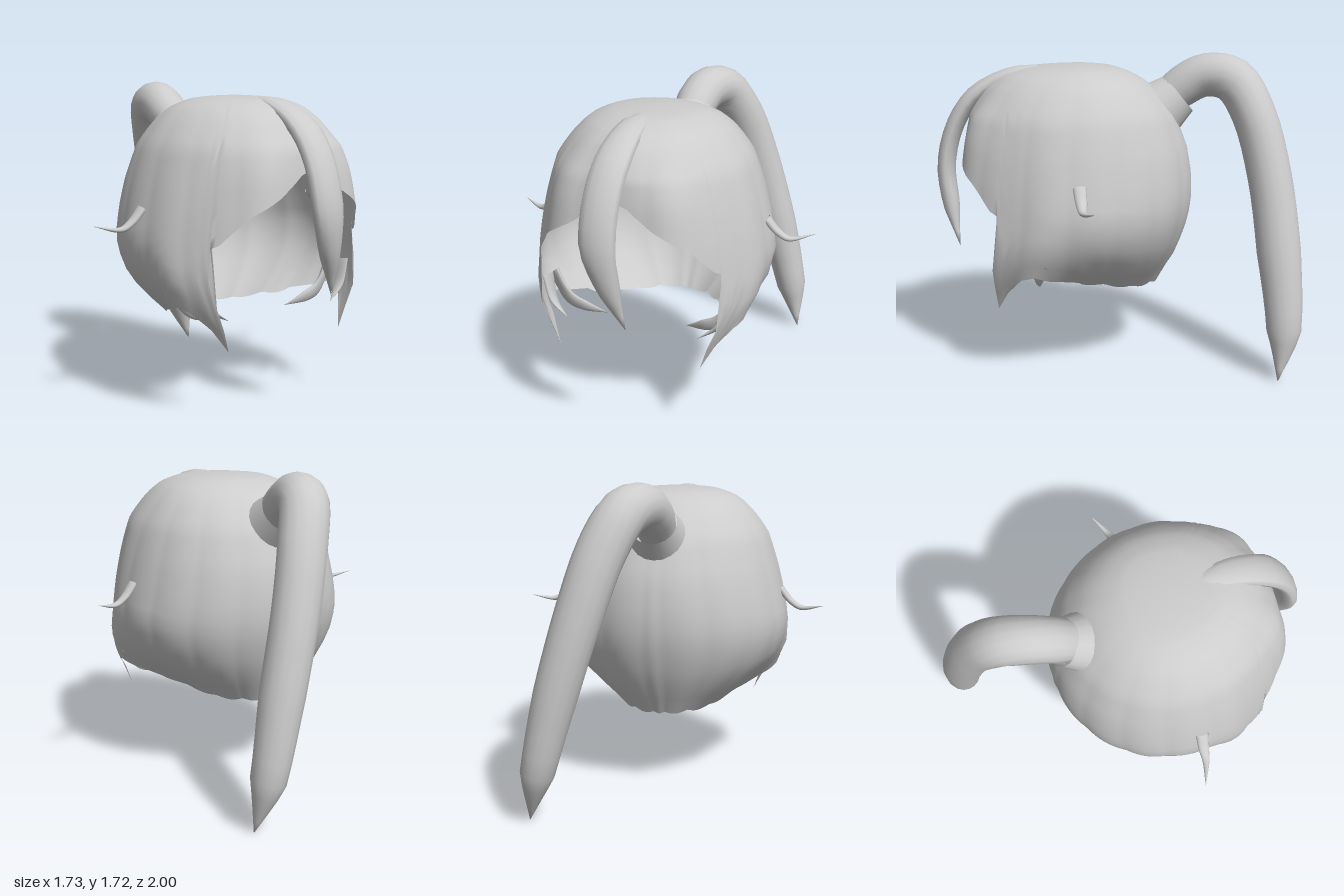
import * as THREE from 'three';
import { mergeVertices } from 'three/addons/utils/BufferGeometryUtils.js';

const TOP = 1.66, MID_Z = 0.2;
const { lerp, clamp, smoothstep, degToRad } = THREE.MathUtils;

// Dome profile: height, half width at the front and at the back, depth to the front and to the back
const PROFILE = [
  [1.66, 0, 0, 0, 0], [1.645, 0.23, 0.23, 0.28, 0.2], [1.6, 0.35, 0.35, 0.42, 0.32],
  [1.54, 0.42, 0.42, 0.5, 0.41], [1.4, 0.53, 0.52, 0.59, 0.53], [1.2, 0.595, 0.585, 0.62, 0.61],
  [1.05, 0.63, 0.62, 0.635, 0.635], [0.9, 0.655, 0.645, 0.64, 0.635], [0.75, 0.66, 0.61, 0.68, 0.6],
  [0.6, 0.61, 0.5, 0.73, 0.54], [0.5, 0.54, 0.37, 0.75, 0.48], [0.38, 0.48, 0.25, 0.77, 0.42],
];

// Lower hairline: degrees from the front, height
const HAIRLINE = [
  [0, 1.3], [8, 1.27], [20, 1.17], [35, 1.07], [46, 0.94], [50, 0.92], [52, 0.62], [56, 0.38],
  [60, 0.49], [66, 0.58], [72, 0.6], [78, 0.57], [95, 0.52], [130, 0.455], [180, 0.44],
];

// Linear lookup in a table whose first column is mapped by key
function lookup(table, value, key = (v) => v) {
  const k = key(value);
  let i = 1;
  while (i < table.length - 1 && k > key(table[i][0])) i++;
  const a = table[i - 1], b = table[i];
  const f = clamp((k - key(a[0])) / (key(b[0]) - key(a[0])), 0, 1);
  return a.slice(1).map((v, j) => lerp(v, b[j + 1], f));
}

// Grid of points to a smooth surface
function gridGeometry(rows, cols, pointAt) {
  const pos = [], index = [];
  for (let r = 0; r <= rows; r++) {
    for (let c = 0; c <= cols; c++) pos.push(...pointAt(r / rows, c / cols));
  }
  for (let r = 0; r < rows; r++) {
    for (let c = 0; c < cols; c++) {
      const a = r * (cols + 1) + c, b = a + cols + 1;
      index.push(a, b, a + 1, b, b + 1, a + 1);
    }
  }
  const geo = new THREE.BufferGeometry();
  geo.setAttribute('position', new THREE.Float32BufferAttribute(pos, 3));
  geo.setIndex(index);
  const merged = mergeVertices(geo, 1e-4);
  merged.computeVertexNormals();
  return merged;
}

// Dome with bangs, pointed side locks and a nape that tucks under
function domeGeometry() {
  return gridGeometry(26, 180, (t, u) => {
    const deg = u * 360 - 180, from = Math.abs(deg), psi = degToRad(deg);
    const ripple = Math.abs(Math.sin(psi * 8 + Math.sign(deg) * t * 0.8));
    const [edge] = lookup(HAIRLINE, from);
    const low = edge - (from > 90 ? 0.015 * ripple : 0);
    const y = TOP - (TOP - low) * t * t;
    const [wFront, wBack, front, back] = lookup(PROFILE, y, (v) => Math.sqrt(Math.max(0, TOP - v)));
    const w = lerp(wFront, wBack, smoothstep(from, 62, 100));
    const depth = Math.cos(psi) > 0 ? front : back;
    // Each half of the bangs swells into a rounded lobe
    const lobe = from < 58 ? Math.sin(Math.PI * from / 58) ** 2 * (1 - smoothstep(y, 1.25, 1.6)) : 0;
    const k = 0.993 + 0.016 * ripple * t + 0.085 * lobe;
    return [w * k * Math.sin(psi), y, MID_Z + depth * k * Math.cos(psi)];
  });
}

// Tapered lock: stations are [x, y, z, half width, half thickness]
function lockGeometry(stations, hint, rows = 20, sides = 12) {
  const curve = new THREE.CatmullRomCurve3(stations.map((s) => new THREE.Vector3(s[0], s[1], s[2])));
  const side = new THREE.Vector3(), normal = new THREE.Vector3();
  const last = stations.length - 1;
  return gridGeometry(rows, sides, (t, u) => {
    const p = curve.getPoint(t), tangent = curve.getTangent(t);
    side.fromArray(hint).addScaledVector(tangent, -tangent.dot(side)).normalize();
    normal.crossVectors(side, tangent);
    const i = Math.min(Math.floor(t * last), last - 1), f = t * last - i;
    const w = lerp(stations[i][3], stations[i + 1][3], f);
    const h = lerp(stations[i][4], stations[i + 1][4], f);
    const a = -u * Math.PI * 2;
    return p.addScaledVector(side, Math.cos(a) * w).addScaledVector(normal, Math.sin(a) * h).toArray();
  });
}

export function createModel() {
  const group = new THREE.Group();
  group.name = 'hair';
  const hair = new THREE.MeshStandardMaterial({ color: 0xcccccc, side: THREE.DoubleSide });
  hair.name = 'hairGrey';

  const add = (name, geometry) => {
    const mesh = new THREE.Mesh(geometry, hair);
    mesh.name = name;
    group.add(mesh);
    return mesh;
  };

  add('hairDome', domeGeometry());

  // Long strand falling over the middle of the face
  add('centreStrand', lockGeometry([
    [0, 1.625, 0.3, 0.03, 0.02], [0, 1.615, 0.54, 0.08, 0.035], [-0.01, 1.5, 0.76, 0.1, 0.05],
    [-0.02, 1.33, 0.885, 0.1, 0.05], [-0.02, 1.1, 0.945, 0.1, 0.052],
    [0.025, 0.88, 0.92, 0.062, 0.05], [0.09, 0.65, 0.87, 0, 0],
  ], [1, 0, 0]));

  // Tie and ponytail sweeping back and to the left
  const tie = add('hairTie', new THREE.CylinderGeometry(0.125, 0.16, 0.13, 20, 1, true));
  tie.position.set(0, 1.455, -0.31);
  tie.rotation.x = -0.9;

  add('ponytail', lockGeometry([
    [0, 1.41, -0.24, 0.1, 0.1], [0.005, 1.54, -0.385, 0.12, 0.115], [0.03, 1.6, -0.51, 0.125, 0.12],
    [0.085, 1.575, -0.65, 0.13, 0.125], [0.17, 1.4, -0.755, 0.13, 0.12], [0.27, 1.08, -0.835, 0.125, 0.12],
    [0.38, 0.69, -0.88, 0.115, 0.12], [0.48, 0.27, -0.905, 0.09, 0.095], [0.54, 0, -0.87, 0, 0],
  ], [1, 0, 0], 32, 16));

  // Mirrored wisps inside the side locks and stray spikes
  for (const [label, s] of [['left', 1], ['right', -1]]) {
    const lock = (name, stations, hint) => add(label + name, lockGeometry(
      stations.map(([x, ...rest]) => [x * s, ...rest]), [hint[0] * s, hint[1], hint[2]]));

    lock('InnerWisp', [
      [0.55, 0.7, 0.4, 0.07, 0.02], [0.45, 0.57, 0.42, 0.05, 0.018],
      [0.35, 0.53, 0.42, 0.035, 0.015], [0.23, 0.49, 0.38, 0, 0],
    ], [0, 1, 0.3]);
    lock('FrontWisp', [
      [0.52, 0.74, 0.53, 0.06, 0.015], [0.47, 0.6, 0.56, 0.04, 0.015], [0.37, 0.53, 0.6, 0, 0],
    ], [0, 0.3, 1]);
    lock('StraySpike', [
      [0.61, 1.09, 0.19, 0.035, 0.02], [0.67, 1.02, 0.18, 0.03, 0.018],
      [0.73, 0.985, 0.17, 0.02, 0.015], [0.865, 1.01, 0.11, 0, 0],
    ], [0, 0, 1]);
  }
  return group;
}
